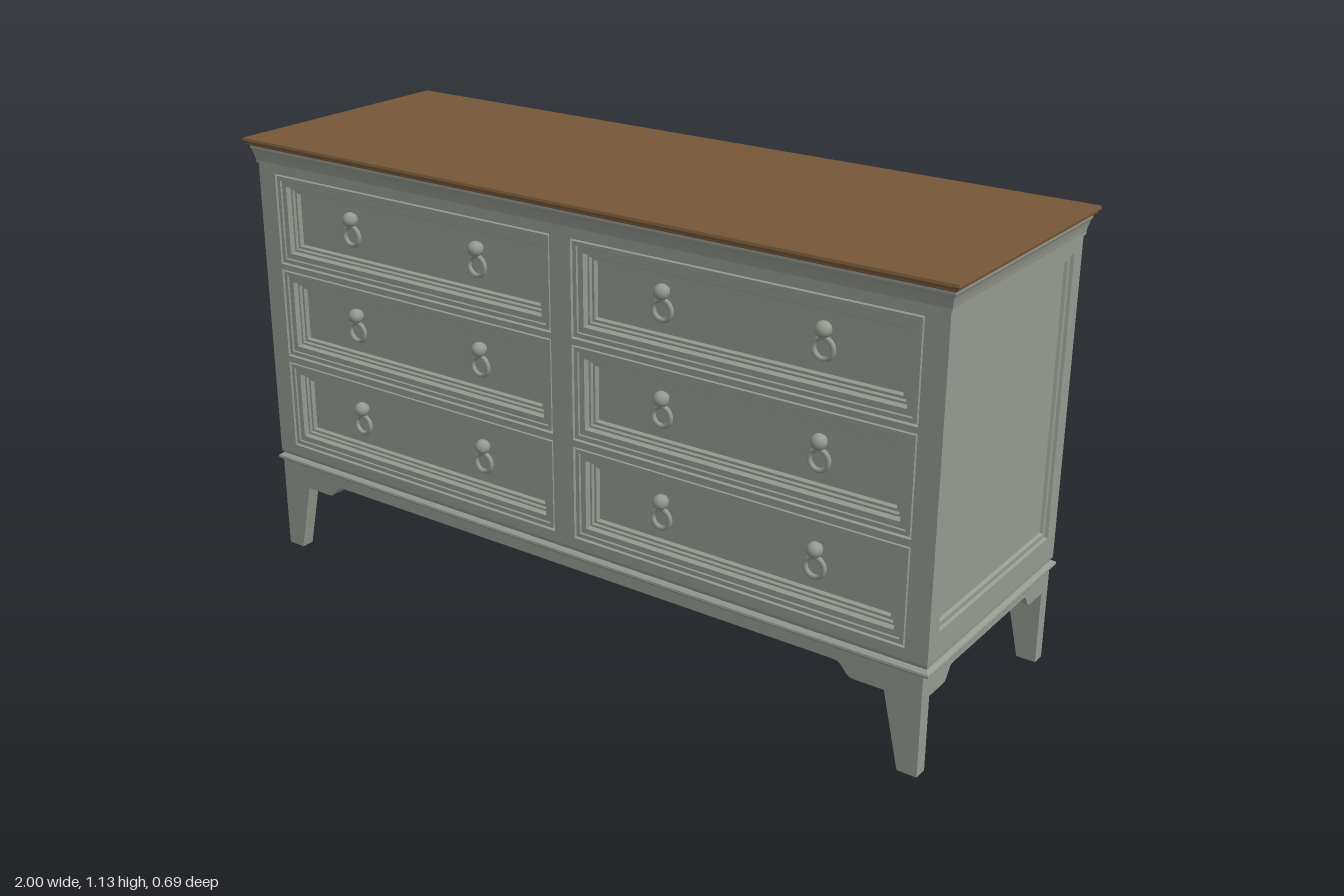
import * as THREE from 'three';

const paint = new THREE.MeshStandardMaterial({ color: 0x949990 });
paint.name = 'grey paint';
const wood = new THREE.MeshStandardMaterial({ color: 0x775839 });
wood.name = 'brown wood';

const HX = 0.974, HZ = 0.318;      // half width and half depth of the carcass
const Y0 = 0.277, Y1 = 1.072;      // bottom and top of its flat faces

function add(parent, name, geometry, material = paint) {
  const mesh = new THREE.Mesh(geometry, material);
  mesh.name = name;
  parent.add(mesh);
  return mesh;
}

// Nested or stacked rectangles: steps are [inset, z]; the last one is capped
function steppedRect(hx, hy, steps) {
  const loops = steps.map(([d, z]) => {
    const x = hx - d, y = hy - d;
    return [[-x, -y, z], [x, -y, z], [x, y, z], [-x, y, z]];
  });
  const pos = [];
  const quad = (a, b, c, d) => pos.push(...a, ...b, ...c, ...a, ...c, ...d);
  for (let i = 0; i < loops.length - 1; i++) {
    const a = loops[i], b = loops[i + 1];
    for (let k = 0; k < 4; k++) {
      const n = (k + 1) % 4;
      quad(a[k], a[n], b[n], b[k]);
    }
  }
  quad(...loops[loops.length - 1]);
  const g = new THREE.BufferGeometry();
  g.setAttribute('position', new THREE.Float32BufferAttribute(pos, 3));
  g.computeVertexNormals();
  return g;
}

// Horizontal moulding around the carcass: steps are [inset, height]
const moulding = (steps) => steppedRect(HX, HZ, steps).rotateX(-Math.PI / 2);

function rectPath(target, x, y, hx, hy) {
  target.moveTo(x - hx, y - hy);
  target.lineTo(x + hx, y - hy);
  target.lineTo(x + hx, y + hy);
  target.lineTo(x - hx, y + hy);
  target.closePath();
  return target;
}

// Flat carcass face with rectangular openings [x, y, hx, hy]
function faceWithOpenings(hw, openings) {
  const shape = rectPath(new THREE.Shape(), 0, (Y0 + Y1) / 2, hw, (Y1 - Y0) / 2);
  for (const o of openings) shape.holes.push(rectPath(new THREE.Path(), ...o));
  return new THREE.ShapeGeometry(shape);
}

// Ball knob with a hanging ring
function createPull() {
  const pull = new THREE.Group();
  pull.name = 'drawerPull';
  add(pull, 'pullKnob', new THREE.SphereGeometry(0.019, 20, 14)).position.set(0, 0.035, 0.016);
  const stem = add(pull, 'pullStem', new THREE.CylinderGeometry(0.009, 0.013, 0.016, 16));
  stem.rotation.x = Math.PI / 2;
  stem.position.set(0, 0.035, 0.006);
  add(pull, 'pullRing', new THREE.TorusGeometry(0.024, 0.006, 10, 28)).position.set(0, -0.008, 0.012);
  return pull;
}

// Apron with its two end brackets; the outline is given for the right half
function apron(points, curveStart, curveEnd, depth) {
  const s = new THREE.Shape();
  const top = 0.252;
  s.moveTo(-points[0][0], top);
  for (const [x, y] of points) s.lineTo(-x, y);
  const [ax, ay] = curveStart, [bx, by] = curveEnd, m = (ax + bx) / 2;
  s.bezierCurveTo(-m, ay, -m, by, -bx, by);
  s.lineTo(bx, by);
  s.bezierCurveTo(m, by, m, ay, ax, ay);
  for (const [x, y] of [...points].reverse()) s.lineTo(x, y);
  s.lineTo(points[0][0], top);
  s.closePath();
  return new THREE.ExtrudeGeometry(s, { depth, bevelEnabled: false, curveSegments: 8 });
}

export function createModel() {
  const model = new THREE.Group();
  model.name = 'dresser';

  // Front face with six recessed drawers
  const drawerHX = 0.444, drawerHY = 0.119;
  const openings = [];
  for (const y of [0.93, 0.677, 0.422])
    for (const x of [-0.474, 0.474]) openings.push([x, y, drawerHX, drawerHY]);
  add(model, 'frontFrame', faceWithOpenings(HX, openings)).position.z = HZ;

  const drawerGeometry = steppedRect(drawerHX, drawerHY, [
    [0, 0], [0.001, -0.01], [0.004, -0.01], [0.005, -0.002], [0.015, -0.002],
    [0.017, -0.006], [0.031, -0.006], [0.035, -0.018], [0.04, -0.018],
    [0.043, -0.024], [0.049, -0.024], [0.052, -0.034],
  ]);
  for (const [x, y] of openings) {
    const drawer = new THREE.Group();
    drawer.name = 'drawer';
    drawer.position.set(x, y, HZ);
    add(drawer, 'drawerFront', drawerGeometry);
    for (const side of [-1, 1]) {
      const pull = createPull();
      pull.position.set(side * 0.205, 0, -0.034);
      drawer.add(pull);
    }
    model.add(drawer);
  }

  // Sides with one recessed panel each
  const panel = [0, 0.689, 0.275, 0.349];
  for (const side of [-1, 1]) {
    const end = new THREE.Group();
    end.name = side > 0 ? 'leftSide' : 'rightSide';
    add(end, 'sideFrame', faceWithOpenings(HZ, [panel]));
    add(end, 'sidePanel', steppedRect(panel[2], panel[3], [
      [0, 0], [0.003, -0.007], [0.014, -0.007], [0.018, -0.014],
    ])).position.y = panel[1];
    end.rotation.y = side * Math.PI / 2;
    end.position.x = side * HX;
    model.add(end);
  }

  // Plain back
  const back = add(model, 'back', faceWithOpenings(HX, []));
  back.rotation.y = Math.PI;
  back.position.z = -HZ;

  // Rounded lower edge of the carcass, base moulding and underside
  add(model, 'lowerEdge', moulding([[0.012, 0.264], [0.004, 0.267], [0.001, 0.271], [0, Y0]]));
  add(model, 'baseMoulding', moulding([
    [0.02, 0.25], [-0.004, 0.25], [-0.007, 0.255], [-0.006, 0.26], [0.002, 0.265],
  ]));
  const underside = add(model, 'underside', new THREE.PlaneGeometry(2 * HX - 0.02, 2 * HZ - 0.02));
  underside.rotation.x = Math.PI / 2;
  underside.position.y = 0.249;

  // Cove cornice and wooden top
  add(model, 'cornice', moulding([
    [0.01, 1.07], [-0.004, 1.07], [-0.004, 1.076], [-0.006, 1.088], [-0.009, 1.1],
    [-0.013, 1.109], [-0.013, 1.118],
  ]));
  add(model, 'top', moulding([
    [0, 1.116], [-0.016, 1.116], [-0.02, 1.119], [-0.02, 1.122], [-0.025, 1.125],
    [-0.026, 1.129], [-0.024, 1.135],
  ]), wood);

  // Front and back aprons with tapered legs
  const legX = 0.967, thick = 0.035;
  const longApron = apron(
    [[legX, 0.252], [legX, 0], [0.918, 0], [0.876, 0.187], [0.8, 0.187]],
    [0.8, 0.187], [0.75, 0.22], thick);
  add(model, 'frontApronAndLegs', longApron).position.z = 0.32 - thick;
  add(model, 'backApronAndLegs', longApron).position.z = -0.32;

  // Side aprons between the legs
  const shortApron = apron(
    [[0.285, 0.252], [0.285, 0.187], [0.22, 0.187]],
    [0.22, 0.187], [0.18, 0.22], thick);
  for (const side of [-1, 1]) {
    const mesh = add(model, 'sideApron', shortApron);
    mesh.rotation.y = side * Math.PI / 2;
    mesh.position.x = side * (legX - thick);
  }
  return model;
}
